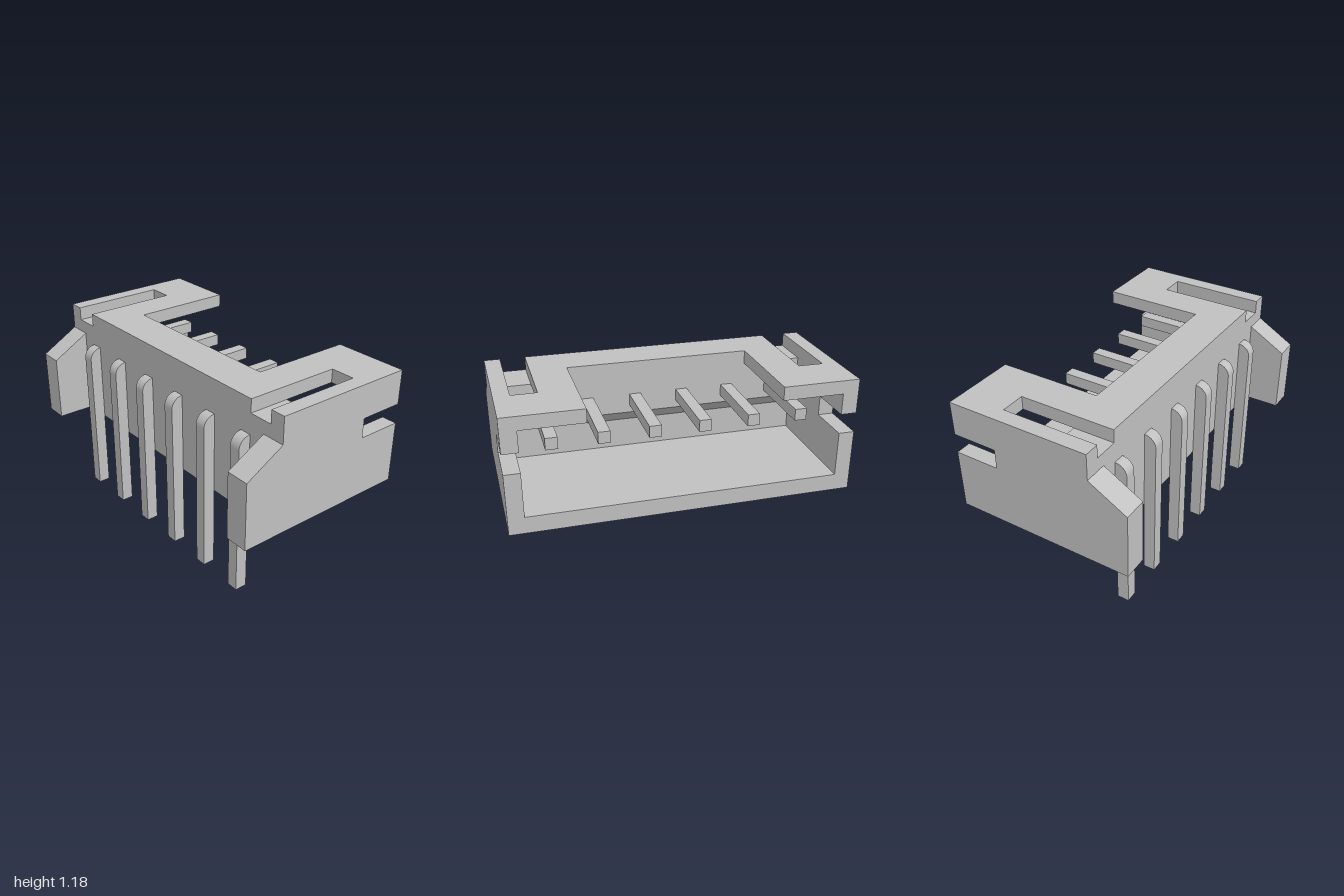
import * as THREE from 'three';
import { toCreasedNormals } from 'three/addons/utils/BufferGeometryUtils.js';

const grey = new THREE.MeshStandardMaterial({ color: 0xc0c0c0 });
grey.name = 'grey';

const polygon = (points) => new THREE.Shape(points.map(([x, y]) => new THREE.Vector2(x, y)));

// Extrudes an x-y profile from z0 to z1
function slab(name, shape, z0, z1) {
  const raw = new THREE.ExtrudeGeometry(shape, { depth: z1 - z0, bevelEnabled: false, curveSegments: 8 });
  raw.translate(0, 0, z0);
  const mesh = new THREE.Mesh(toCreasedNormals(raw, 0.6), grey);
  mesh.name = name;
  return mesh;
}

export function createModel() {
  const model = new THREE.Group();
  model.name = 'pinHeader';

  const back = -0.318, wing = -0.547, front = 0.545;
  const bottom = 0.49, top = 1.18, ceiling = 1.1;
  const inner = 0.907; // half width of the cavity

  // Floor and back wall, with the undercut along the inside of the wall
  model.add(slab('floorAndBackWall', polygon([
    [back, bottom], [front, bottom], [front, 0.59], [-0.17, 0.59],
    [-0.17, 0.77], [-0.07, 0.858], [-0.07, ceiling], [back, ceiling],
  ]), -inner, inner));

  // Roof with a wide front opening and a slot at each end
  const half = [[back, 0.76], [0.26, 0.76], [0.26, inner], [front, inner], [front, 0.547], [-0.07, 0.547]];
  const mirrored = half.map(([x, z]) => [x, -z]).reverse();
  const roof = slab('roof', polygon([...half, ...mirrored]), ceiling, top);
  roof.geometry.rotateX(-Math.PI / 2);
  model.add(roof);

  // Notched side walls and the thicker wings behind them
  const wall = polygon([
    [wing, bottom], [front, bottom], [front, 0.857], [0.272, 0.857], [0.272, 0.975],
    [front, 0.975], [front, top], [back, top], [back, 1.022], [wing, 0.89],
  ]);
  const wingShape = polygon([[wing, bottom], [back, bottom], [back, 1.022], [wing, 0.89]]);
  model.add(slab('leftWall', wall, inner, 1), slab('rightWall', wall, -1, -inner));
  model.add(slab('leftWing', wingShape, 0.858, inner), slab('rightWing', wingShape, -inner, -0.858));

  // Bent pins: a leg behind the wall and a contact in the cavity
  const w = 0.07, leg = -0.39, high = 0.975;
  const pin = new THREE.Shape();
  pin.moveTo(leg, 0);
  pin.lineTo(back, 0);
  pin.lineTo(back, high - w);
  pin.lineTo(0.41, high - w);
  pin.lineTo(0.41, high);
  pin.lineTo(leg + w, high);
  pin.absarc(leg + w, high - w, w, Math.PI / 2, Math.PI, false);
  pin.lineTo(leg, 0);
  for (let i = 0; i < 6; i++) {
    const z = (i - 2.5) * 0.289;
    model.add(slab('pin' + (i + 1), pin, z - w / 2, z + w / 2));
  }
  return model;
}
